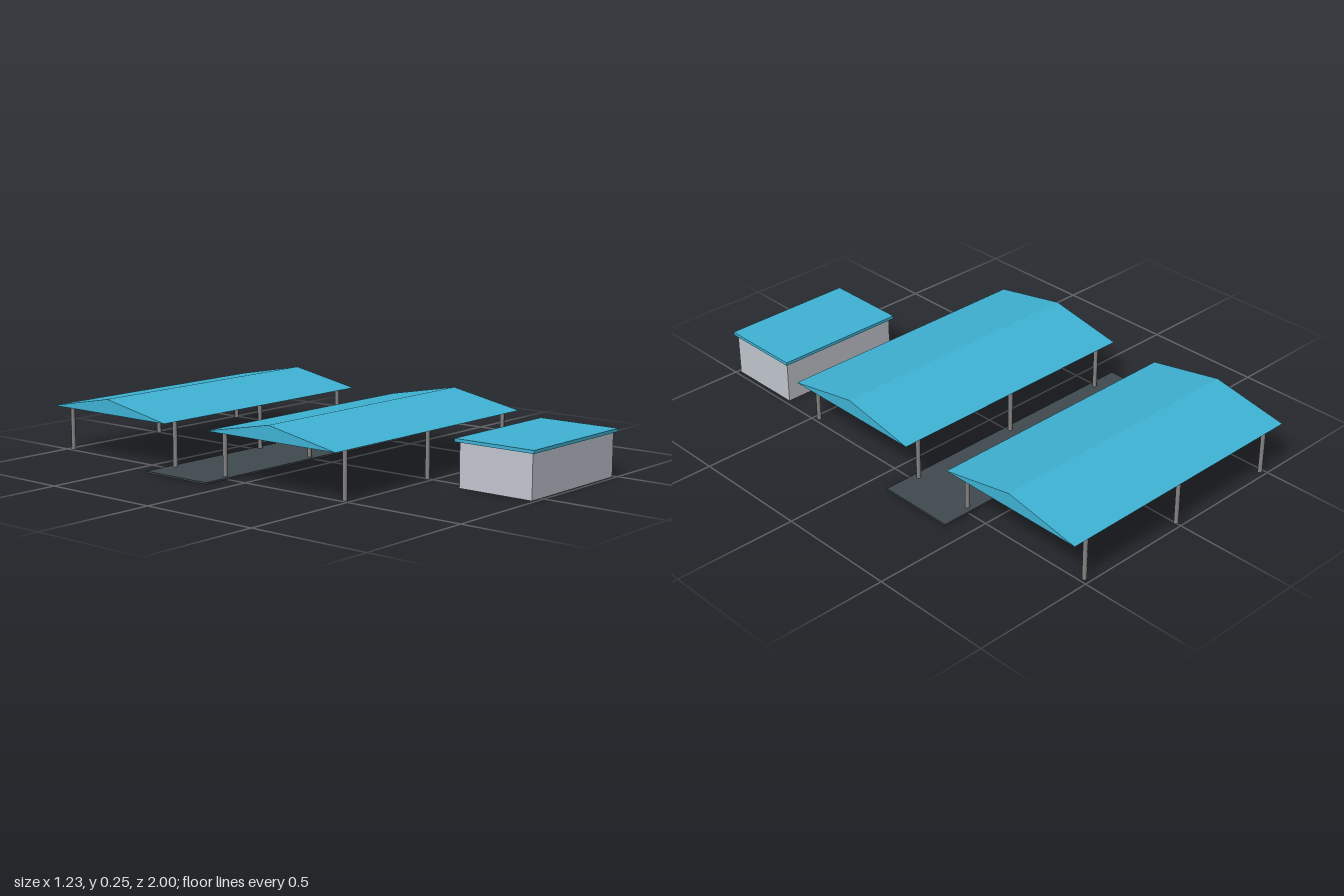
import * as THREE from 'three';

const mat = (name, color) => {
  const m = new THREE.MeshStandardMaterial({ color });
  m.name = name;
  return m;
};

export function createModel() {
  const roofBlue = mat('roof blue', 0x3fb3d5);
  const wallGrey = mat('wall grey', 0xc2c6cf);
  const postGrey = mat('post grey', 0x858585);
  const asphalt = mat('dark asphalt', 0x3f4a4f);

  const model = new THREE.Group();
  model.name = 'forecourt';

  const add = (parent, name, geometry, material, x, y, z) => {
    const mesh = new THREE.Mesh(geometry, material);
    mesh.name = name;
    mesh.position.set(x, y, z);
    parent.add(mesh);
    return mesh;
  };

  // Box given by its extents
  const addBox = (parent, name, material, [x0, x1], [y0, y1], [z0, z1]) =>
    add(parent, name, new THREE.BoxGeometry(x1 - x0, y1 - y0, z1 - z0), material,
      (x0 + x1) / 2, (y0 + y1) / 2, (z0 + z1) / 2);

  // Gabled roof: triangular section extruded along x
  const eave = 0.19, length = 1.126, midX = -0.002;
  const gable = new THREE.Shape([
    new THREE.Vector2(-0.32, 0),
    new THREE.Vector2(0.32, 0),
    new THREE.Vector2(0, 0.06),
  ]);
  const roofGeometry = new THREE.ExtrudeGeometry(gable, { depth: length, bevelEnabled: false });
  roofGeometry.translate(0, 0, -length / 2).rotateY(Math.PI / 2);
  const postGeometry = new THREE.CylinderGeometry(0.009, 0.009, eave, 8);

  // Two open shelters, each on six posts
  for (const [name, z] of [['frontShelter', 0.18], ['backShelter', -0.68]]) {
    const shelter = new THREE.Group();
    shelter.name = name;
    shelter.position.set(midX, 0, z);
    add(shelter, 'gableRoof', roofGeometry, roofBlue, 0, eave, 0);
    for (const px of [-0.483, 0, 0.483]) {
      for (const pz of [-0.296, 0.296]) {
        add(shelter, 'post', postGeometry, postGrey, px, eave / 2, pz);
      }
    }
    model.add(shelter);
  }

  // Paved lane between the shelters
  addBox(model, 'lane', asphalt, [-0.616, 0.616], [0, 0.007], [-0.41, -0.09]);

  // Small flat-roofed building at the front
  const kiosk = new THREE.Group();
  kiosk.name = 'kiosk';
  addBox(kiosk, 'walls', wallGrey, [-0.056, 0.482], [0, 0.175], [0.665, 0.987]);
  addBox(kiosk, 'flatRoof', roofBlue, [-0.069, 0.494], [0.175, 0.188], [0.651, 1]);
  model.add(kiosk);

  return model;
}
